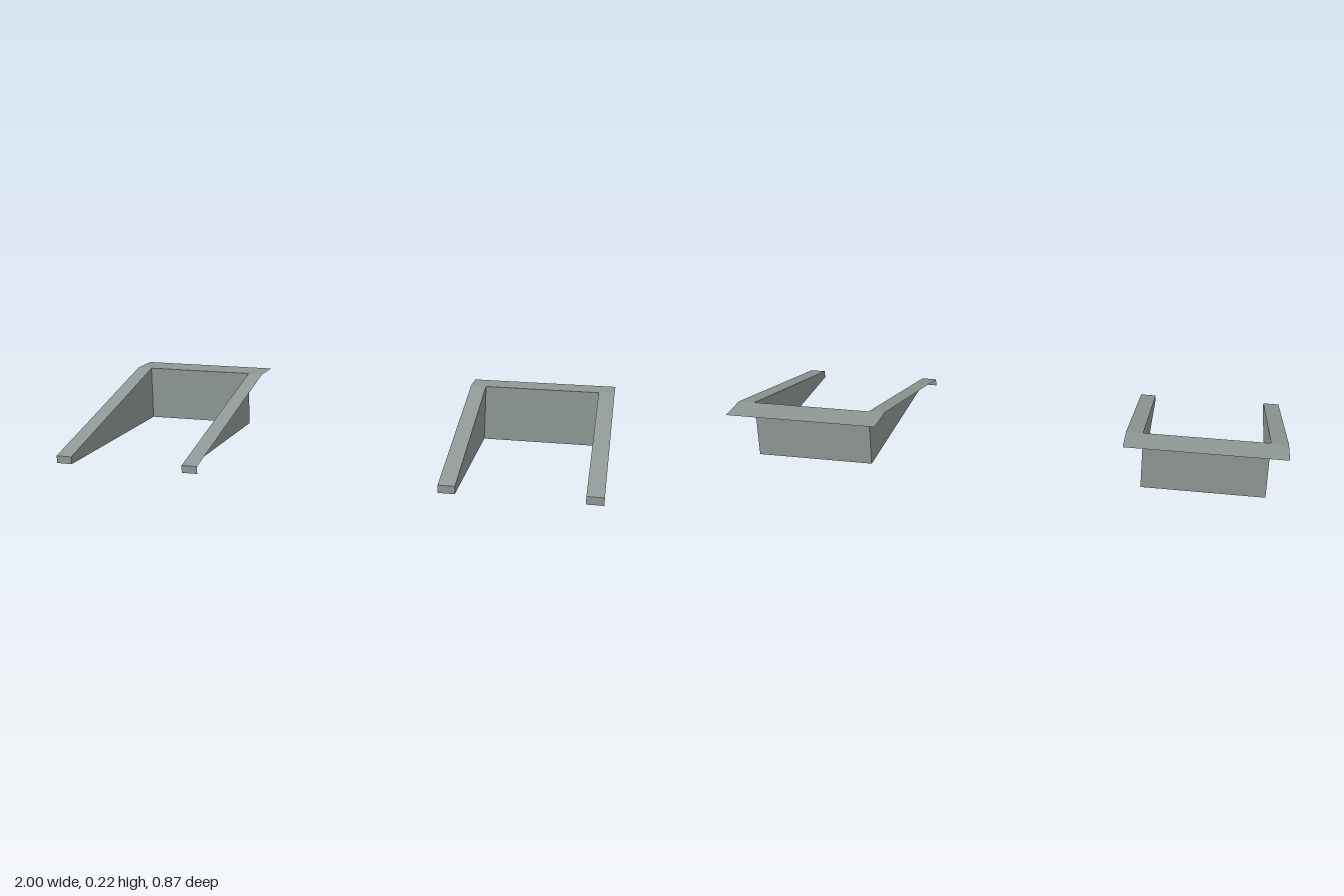
import * as THREE from 'three';

const OUT = 0.28, INN = 0.22;            // half widths of a unit: outer rim and inner walls
const FRONT = 0.435, WALL = -0.313, BACK = -0.435;
const LOW = 0.028, HIGH = 0.215;         // rim height at the front and at the back

export function createModel() {
  const metal = new THREE.MeshStandardMaterial({ color: 0x8f9896, side: THREE.DoubleSide });
  metal.name = 'grey metal';

  // flat sheet from four corners, counter-clockwise seen from its front
  const sheet = (name, ...corners) => {
    const g = new THREE.BufferGeometry();
    g.setAttribute('position', new THREE.Float32BufferAttribute(corners.flat(), 3));
    g.setIndex([0, 1, 2, 0, 2, 3]);
    g.computeVertexNormals();
    const mesh = new THREE.Mesh(g, metal);
    mesh.name = name;
    return mesh;
  };

  const makeUnit = (name, x) => {
    const unit = new THREE.Group();
    unit.name = name;
    unit.position.x = x;

    // level rim behind the back wall, and the back wall itself
    unit.add(sheet('backRim', [-OUT, HIGH, WALL], [OUT, HIGH, WALL], [OUT, HIGH, BACK], [-OUT, HIGH, BACK]));
    unit.add(sheet('backWall', [-INN, 0, WALL], [INN, 0, WALL], [INN, HIGH, WALL], [-INN, HIGH, WALL]));

    for (const [side, a, b, inner] of [['right', -OUT, -INN, -INN], ['left', INN, OUT, INN]]) {
      // sloping rim, small front lip and tapered wall under the inner edge
      unit.add(sheet(side + 'Rim', [a, LOW, FRONT], [b, LOW, FRONT], [b, HIGH, WALL], [a, HIGH, WALL]));
      unit.add(sheet(side + 'Lip', [a, 0, FRONT], [b, 0, FRONT], [b, LOW, FRONT], [a, LOW, FRONT]));
      unit.add(sheet(side + 'Wall', [inner, 0, FRONT], [inner, 0, WALL], [inner, HIGH, WALL], [inner, LOW, FRONT]));
    }
    return unit;
  };

  const model = new THREE.Group();
  model.name = 'rampPair';
  model.add(makeUnit('rightRamp', -0.72), makeUnit('leftRamp', 0.72));
  return model;
}
